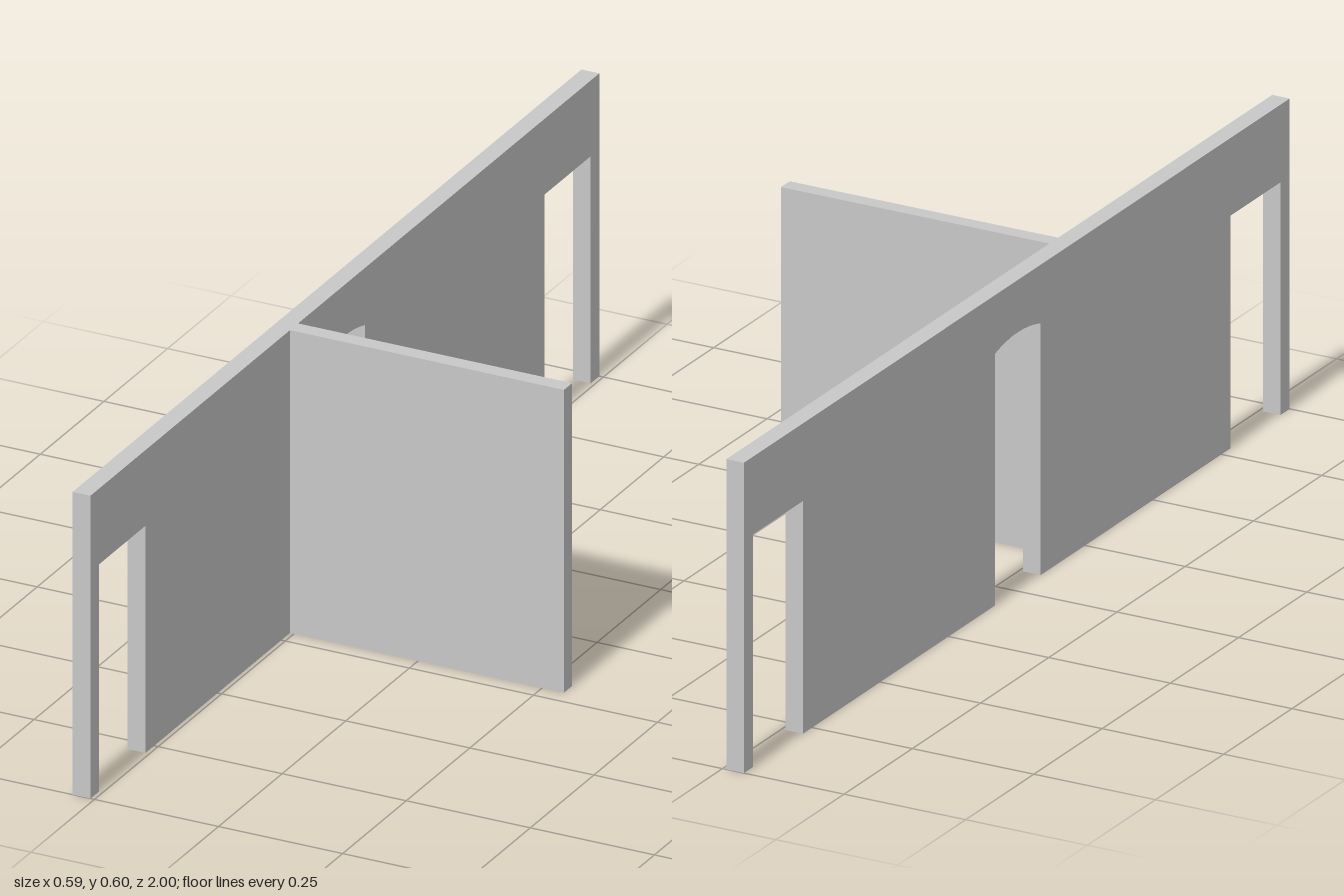
import * as THREE from 'three';

const HEIGHT = 0.6;
const WALL_BACK = -0.294, WALL_FRONT = -0.258;

export function createModel() {
  const model = new THREE.Group();
  model.name = 'dividingWalls';
  const plaster = new THREE.MeshStandardMaterial({ color: 0xc8c8c8 });

  // Long wall outline (shape x becomes world z), with two square doorways and a central arch
  const outline = new THREE.Shape();
  const squareDoor = (a, b) => {
    outline.lineTo(a, 0);
    outline.lineTo(a, 0.45);
    outline.lineTo(b, 0.45);
    outline.lineTo(b, 0);
  };
  outline.moveTo(-1, 0);
  squareDoor(-0.966, -0.784);
  outline.lineTo(-0.079, 0);
  outline.lineTo(-0.079, 0.487);
  outline.quadraticCurveTo(0.004, 0.511, 0.087, 0.487);
  outline.lineTo(0.087, 0);
  squareDoor(0.784, 0.966);
  outline.lineTo(1, 0);
  outline.lineTo(1, HEIGHT);
  outline.lineTo(-1, HEIGHT);
  outline.closePath();

  const wallGeometry = new THREE.ExtrudeGeometry(outline, {
    depth: WALL_FRONT - WALL_BACK, bevelEnabled: false, curveSegments: 8,
  });
  wallGeometry.rotateY(-Math.PI / 2);
  const longWall = new THREE.Mesh(wallGeometry, plaster);
  longWall.name = 'longWall';
  longWall.position.x = WALL_FRONT;
  model.add(longWall);

  // Solid cross wall standing at right angles to the long wall
  const length = 0.294 - WALL_FRONT;
  const crossWall = new THREE.Mesh(new THREE.BoxGeometry(length, HEIGHT, 0.032), plaster);
  crossWall.name = 'crossWall';
  crossWall.position.set(WALL_FRONT + length / 2, HEIGHT / 2, 0.2);
  model.add(crossWall);

  return model;
}
